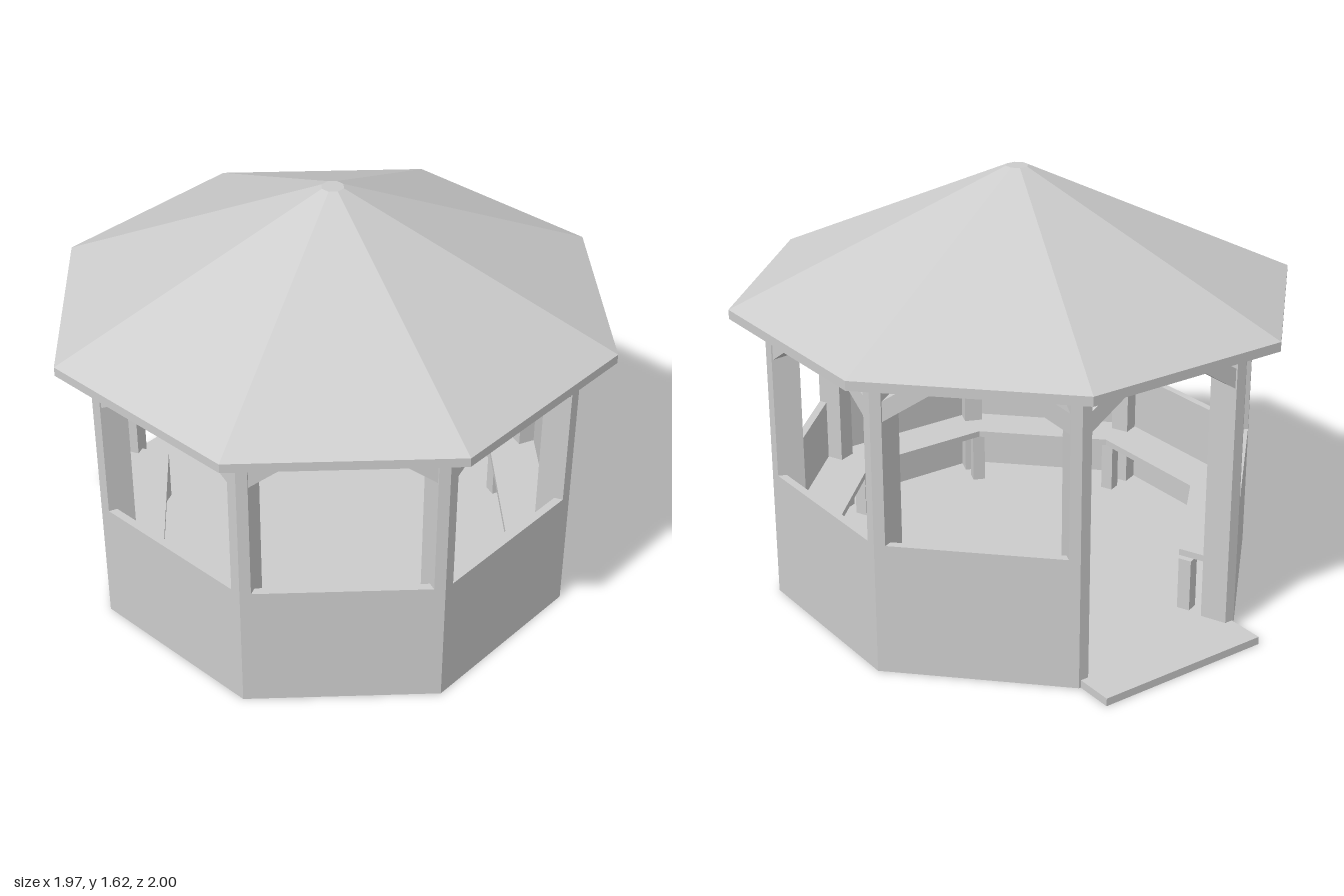
import * as THREE from 'three';

const SIDES = 8;
const STEP = (Math.PI * 2) / SIDES;
const TAN = Math.tan(STEP / 2);
const APOTHEM = 0.864; // centre to the outside of a wall
const RADIUS = APOTHEM / Math.cos(STEP / 2);

const material = new THREE.MeshStandardMaterial({ color: 0xcccccc, flatShading: true });

function addMesh(parent, name, geometry) {
  const mesh = new THREE.Mesh(geometry, material);
  mesh.name = name;
  parent.add(mesh);
  return mesh;
}

// Upright prism from an outline of [x, z] points
function prism(points, y0, y1) {
  const shape = new THREE.Shape(points.map(([x, z]) => new THREE.Vector2(x, -z)));
  return new THREE.ExtrudeGeometry(shape, { depth: y1 - y0, bevelEnabled: false })
    .rotateX(-Math.PI / 2)
    .translate(0, y0, 0);
}

// One mitred piece of an eight-sided ring, facing +z
function ringPiece(inner, outer, y0, y1) {
  return prism([
    [-inner * TAN, inner], [inner * TAN, inner],
    [outer * TAN, outer], [-outer * TAN, outer],
  ], y0, y1);
}

// Sloping brace in the plane of a wall, running from a post up to the roof
function braceGeometry(mirror) {
  const half = APOTHEM * TAN;
  const outline = [[0.03, 0.955], [0.03, 1.03], [0.175, 1.121], [0.285, 1.121]];
  const shape = new THREE.Shape(
    outline.map(([s, y]) => new THREE.Vector2(mirror * (half - s), y)));
  return new THREE.ExtrudeGeometry(shape, { depth: 0.08, bevelEnabled: false })
    .translate(0, 0, APOTHEM - 0.085);
}

export function createModel() {
  const model = new THREE.Group();
  model.name = 'gazebo';
  const body = new THREE.Group();
  body.name = 'pavilion';
  body.rotation.y = 0.0155;
  body.position.z = 0.013;
  model.add(body);

  // Floor slab
  const corners = [];
  for (let i = 0; i < SIDES; i++) {
    const a = (i + 0.5) * STEP;
    corners.push([RADIUS * Math.sin(a), RADIUS * Math.cos(a)]);
  }
  addMesh(body, 'floor', prism(corners, 0, 0.03));

  // Hollow roof with a flat rim under the eaves
  const roofProfile = [
    [0, 1.52], [0.87, 1.12], [1.06, 1.12], [1.06, 1.155], [0.042, 1.62], [0, 1.62],
  ].map(([r, y]) => new THREE.Vector2(r, y));
  addMesh(body, 'roof', new THREE.LatheGeometry(roofProfile, SIDES, STEP / 2));

  for (let i = 0; i < SIDES; i++) {
    // Side: low wall, bench and two braces; the back side is the doorway
    const side = new THREE.Group();
    side.name = i === 4 ? 'doorway' : 'side';
    side.rotation.y = i * STEP;
    body.add(side);
    if (i !== 4) {
      addMesh(side, 'lowWall', ringPiece(APOTHEM - 0.03, APOTHEM, 0, 0.5));
      addMesh(side, 'bench', ringPiece(0.65, APOTHEM - 0.03, 0.235, 0.26));
    }
    for (const mirror of [-1, 1]) addMesh(side, 'brace', braceGeometry(mirror));

    // Corner: post with an outer edge that follows both walls, and bench leg
    const corner = new THREE.Group();
    corner.name = 'corner';
    corner.rotation.y = (i + 0.5) * STEP;
    body.add(corner);
    const w = 0.037;
    addMesh(corner, 'post', prism([
      [-w, 0.82], [w, 0.82], [w, RADIUS - w * TAN], [0, RADIUS], [-w, RADIUS - w * TAN],
    ], 0, 1.122));
    addMesh(corner, 'benchLeg', new THREE.BoxGeometry(0.05, 0.205, 0.05))
      .position.set(0, 0.1325, 0.74);
  }

  // Entrance step behind the doorway
  addMesh(body, 'entranceStep', new THREE.BoxGeometry(0.7, 0.03, 0.145))
    .position.set(0, 0.015, -APOTHEM - 0.0725);

  return model;
}
